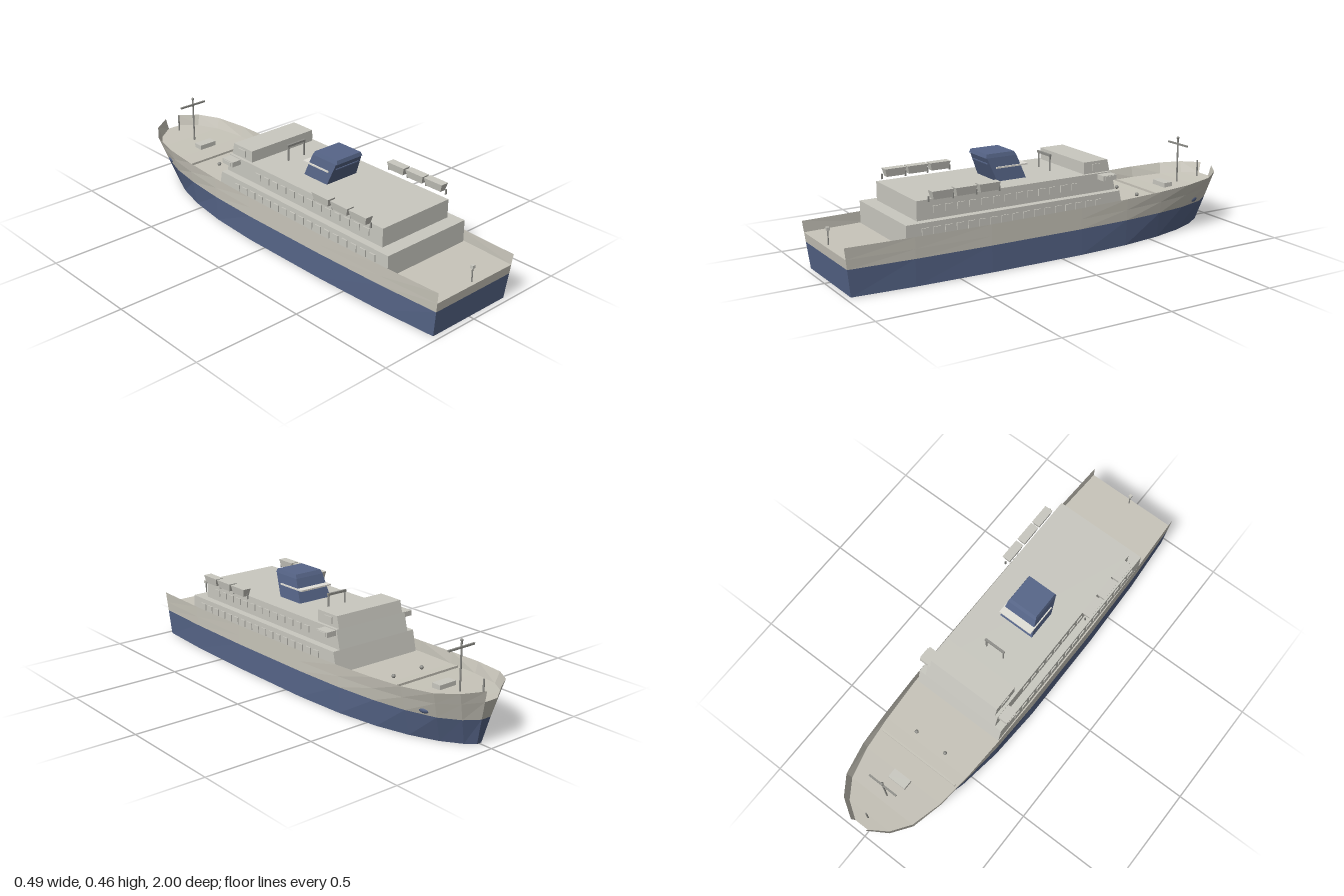
import * as THREE from 'three';

const mat = (name, color, side = THREE.FrontSide) => {
  const m = new THREE.MeshStandardMaterial({ color, side });
  m.name = name;
  return m;
};

// Stations from stern to bow: z at keel, z at rail, half width at keel, half width at rail, rail height
const STATIONS = [
  [0.975, 1.0, 0.213, 0.224, 0.21],
  [0.7, 0.7, 0.232, 0.236, 0.21],
  [0.35, 0.35, 0.242, 0.242, 0.21],
  [-0.1, -0.1, 0.242, 0.242, 0.213],
  [-0.35, -0.35, 0.228, 0.239, 0.217],
  [-0.55, -0.55, 0.198, 0.231, 0.222],
  [-0.7, -0.71, 0.157, 0.219, 0.228],
  [-0.82, -0.86, 0.105, 0.186, 0.236],
  [-0.9, -0.945, 0.05, 0.127, 0.244],
  [-0.935, -1.0, 0.012, 0.04, 0.25],
];
const BULWARK = 0.05;
const WATERLINE = 0.118;

// One side of the hull outline at a height given by a rule of the rail height
function outline(heightOf, sign) {
  return STATIONS.map(([zk, zr, wk, wr, rail]) => {
    const y = heightOf(rail);
    const t = y / rail;
    return [sign * (wk + (wr - wk) * t), y, zk + (zr - zk) * t];
  });
}

// Flat-shaded band of quads between two rows of points
function strip(a, b) {
  const p = [];
  for (let i = 0; i < a.length - 1; i++) {
    p.push(...a[i], ...a[i + 1], ...b[i + 1], ...a[i], ...b[i + 1], ...b[i]);
  }
  const g = new THREE.BufferGeometry();
  g.setAttribute('position', new THREE.Float32BufferAttribute(p, 3));
  g.computeVertexNormals();
  return g;
}

// Box with its own rectangle at the bottom and top: [halfWidth, zAft, zFore]
function taperedBox(y0, y1, bottom, top) {
  const g = new THREE.BoxGeometry(2, 1, 1);
  const p = g.attributes.position;
  for (let i = 0; i < p.count; i++) {
    const up = p.getY(i) > 0;
    const [w, aft, fore] = up ? top : bottom;
    p.setXYZ(i, p.getX(i) * w, up ? y1 : y0, p.getZ(i) > 0 ? aft : fore);
  }
  g.computeVertexNormals();
  return g;
}

export function createModel() {
  const ship = new THREE.Group();
  ship.name = 'ship';
  const blue = mat('hullBlue', 0x566588, THREE.DoubleSide);
  const grey = mat('upperHull', 0xc8c5ba, THREE.DoubleSide);
  const house = mat('superstructure', 0xc9c8c0);
  const trim = mat('funnelTrim', 0xe2e0d8);
  const metal = mat('fittings', 0x8f8f8a);

  const add = (name, geometry, material, x = 0, y = 0, z = 0, parent = ship) => {
    const m = new THREE.Mesh(geometry, material);
    m.name = name;
    m.position.set(x, y, z);
    parent.add(m);
    return m;
  };
  const box = (name, w, h, d, material, x, y, z, parent) =>
    add(name, new THREE.BoxGeometry(w, h, d), material, x, y, z, parent);
  const post = (name, r, y0, y1, x, z) =>
    add(name, new THREE.CylinderGeometry(r, r, y1 - y0, 8), metal, x, (y0 + y1) / 2, z);

  // Hull
  const keel = () => 0;
  const water = () => WATERLINE;
  const deck = (rail) => rail - BULWARK;
  const rail = (r) => r;
  const ring = (h) => {
    const left = outline(h, 1);
    return [...left, ...outline(h, -1).reverse(), left[0]];
  };
  add('lowerHull', strip(ring(keel), ring(water)), blue);
  add('hullBottom', strip(outline(keel, -1), outline(keel, 1)), blue);
  add('upperHull', strip(ring(water), ring(deck)), grey);
  add('deck', strip(outline(deck, 1), outline(deck, -1)), grey);
  add('leftBulwark', strip(outline(deck, 1), outline(rail, 1)), grey);
  add('rightBulwark', strip(outline(rail, -1), outline(deck, -1)), grey);

  // Deckhouses, with a raked front
  add('lowerDeckhouse', taperedBox(0.155, 0.26, [0.227, 0.735, -0.333], [0.227, 0.735, -0.31]), house);
  add('upperDeckhouse', taperedBox(0.26, 0.344, [0.193, 0.67, -0.31], [0.193, 0.67, -0.289]), house);
  add('bridge', taperedBox(0.344, 0.397, [0.179, -0.152, -0.289], [0.179, -0.152, -0.276]), house);

  for (const s of [-1, 1]) {
    // Side windows
    const windows = new THREE.Group();
    windows.name = s > 0 ? 'leftWindows' : 'rightWindows';
    ship.add(windows);
    for (let i = 0; i < 17; i++) {
      box('lowerWindow', 0.008, 0.032, 0.032, house, s * 0.228, 0.222, 0.65 - i * 0.053, windows);
    }
    for (let i = 0; i < 13; i++) {
      box('upperWindow', 0.008, 0.03, 0.034, house, s * 0.194, 0.3, 0.58 - i * 0.056, windows);
    }
    box('bridgeWindow', 0.008, 0.03, 0.05, house, s * 0.179, 0.37, -0.22, windows);

    // Bridge wings
    box('bridgeWing', 0.055, 0.023, 0.07, house, s * 0.2125, 0.3285, -0.25);
    box('wingEnd', 0.006, 0.017, 0.05, house, s * 0.241, 0.3285, -0.25);

    // Lifeboats and davits
    for (const z of [0.572, 0.465, 0.355]) {
      add('lifeboat', taperedBox(0.352, 0.387, [0.014, 0.041, -0.041], [0.02, 0.05, -0.05]), house, s * 0.221, 0, z);
    }
    for (const z of [0.63, 0.518, 0.41, 0.301]) {
      box('davit', 0.006, 0.024, 0.006, metal, s * 0.221, 0.354, z);
    }

    // Foredeck bollards and bow anchors
    add('bollard', new THREE.SphereGeometry(0.009, 10, 8), metal, s * 0.08, 0.18, -0.52);
    const anchor = add('anchor', new THREE.SphereGeometry(1, 10, 6), blue, s * 0.163, 0.14, -0.79);
    anchor.scale.set(0.012, 0.015, 0.026);
    anchor.rotation.y = s * 0.35;

    // Radar arch legs
    post('radarArchLeg', 0.004, 0.344, 0.412, s * 0.046, -0.06);
  }
  box('radarArchBar', 0.104, 0.01, 0.01, metal, 0, 0.415, -0.06);

  // Raked funnel with a cap and a light collar
  add('funnel', taperedBox(0.344, 0.447, [0.087, 0.233, 0.09], [0.075, 0.275, 0.13]), blue);
  add('funnelCap', taperedBox(0.447, 0.464, [0.075, 0.28, 0.13], [0.07, 0.275, 0.14]), blue);
  box('funnelCollar', 0.17, 0.007, 0.155, trim, 0, 0.403, 0.158);
  box('funnelSlot', 0.13, 0.004, 0.008, blue, 0, 0.42, 0.265);

  // Foredeck fittings
  box('breakwater', 0.41, 0.012, 0.008, grey, 0, 0.178, -0.605);
  box('hatch', 0.09, 0.022, 0.045, house, 0, 0.189, -0.732);

  // Masts and staffs
  post('foremast', 0.004, 0.175, 0.4, 0, -0.82);
  add('foremastLight', new THREE.SphereGeometry(0.007, 8, 6), metal, 0, 0.4, -0.82);
  box('foremastYard', 0.145, 0.008, 0.008, metal, 0, 0.37, -0.82);
  post('bowStaff', 0.004, 0.19, 0.275, 0, -0.945);
  post('sternStaff', 0.003, 0.16, 0.222, 0, 0.975);
  box('sternLight', 0.014, 0.014, 0.014, house, 0, 0.229, 0.975);

  return ship;
}
